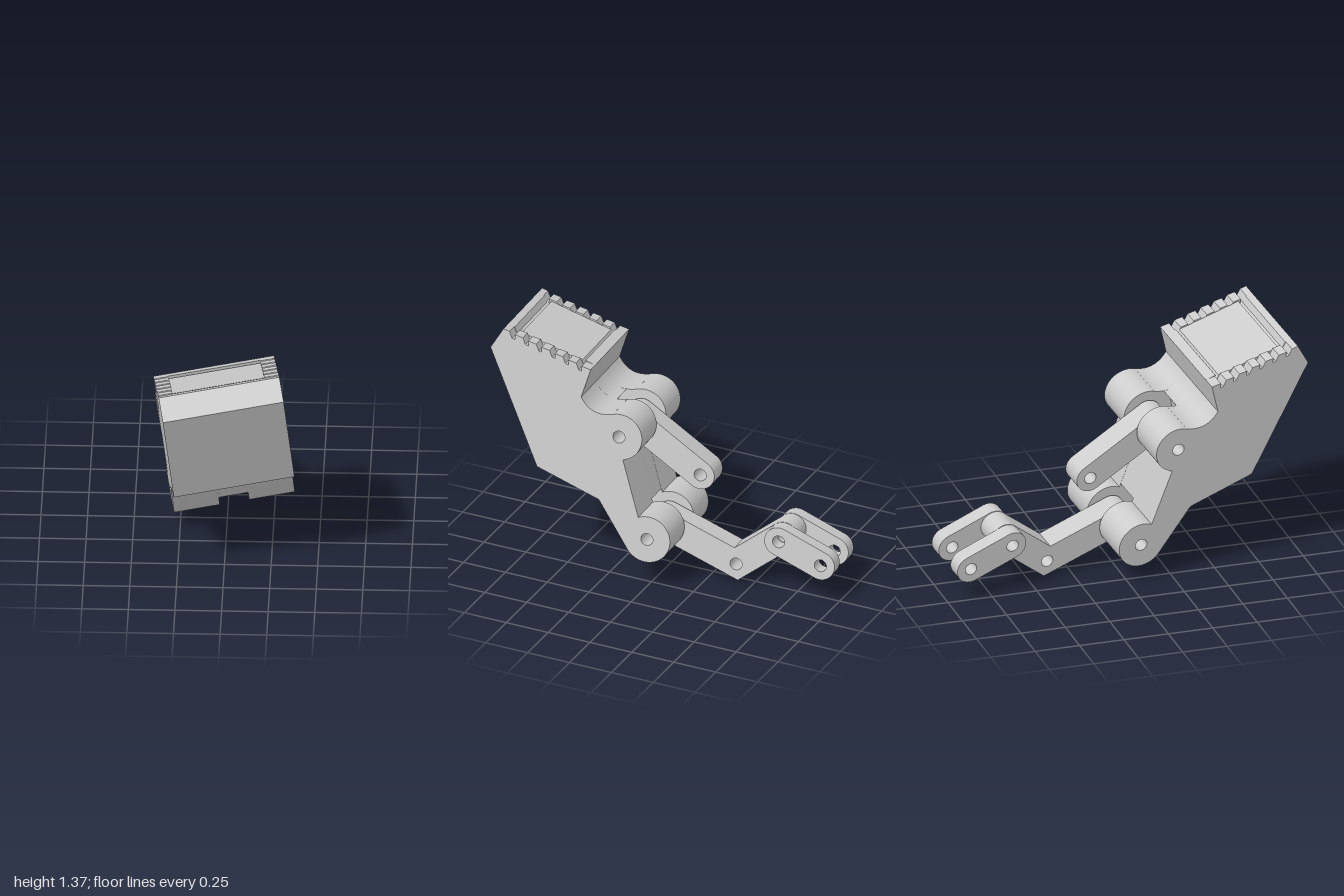
import * as THREE from 'three';
import { toCreasedNormals } from 'three/addons/utils/BufferGeometryUtils.js';

const material = new THREE.MeshStandardMaterial({ color: 0xcccccc });
const MID = 0.0485;            // middle plane of the linkage on the hinge axis
const UPPER = [0.213, 0.818];  // hinge centres as [z, y]
const LOWER = [0.029, 0.258];
const BOSS = 0.13, SLOT = 0.15, HOLE = 0.034;

// Extrudes a [z, y] shape between two positions along x
function slab(name, shape, x0, x1) {
  let geo = new THREE.ExtrudeGeometry(shape, { depth: x1 - x0, bevelEnabled: false, curveSegments: 28 });
  geo.rotateY(-Math.PI / 2).translate(x1, 0, 0);
  geo = toCreasedNormals(geo, 0.5);
  const mesh = new THREE.Mesh(geo, material);
  mesh.name = name;
  return mesh;
}

function drill(shape, [z, y]) {
  shape.holes.push(new THREE.Path().absarc(z, y, HOLE, 0, Math.PI * 2, true));
}

// Point on the sloping top: s along it from the front, d below it
const top = (s, d) => [0.889 - 0.955 * s - 0.296 * d, 1.331 - 0.296 * s - 0.955 * d];

// Notched outline at the sides
function toothTop() {
  const pts = [];
  for (let i = 0; i < 6; i++) {
    const s = 0.036 + i * 0.08;
    pts.push(top(s, 0), top(s + 0.006, 0.036), top(s + 0.024, 0.036), top(s + 0.032, 0.004));
  }
  return pts;
}

// Panel between two ridges with a groove at each end
function panelTop() {
  return [top(0.04, 0), top(0.045, 0.036), top(0.075, 0.036), top(0.08, 0.012),
    top(0.44, 0.012), top(0.445, 0.036), top(0.46, 0.036), top(0.465, 0)];
}

// Body cross-section, with hinge bosses or with clearance for the links
function bodyShape(topPoints, slotted) {
  const s = new THREE.Shape();
  s.moveTo(0.957, 1.214);
  s.lineTo(...top(0, 0));
  topPoints.forEach(p => s.lineTo(...p));
  s.lineTo(0.389, 1.176);
  s.lineTo(0.435, 1.013);
  if (slotted) {
    s.quadraticCurveTo(0.39, 0.935, 0.311, 0.932);
    s.absarc(...UPPER, SLOT, 0.86, -1.8, true);
    s.absarc(...LOWER, SLOT, 1.15, -0.12, true);
  } else {
    s.quadraticCurveTo(0.375, 0.907, 0.253, 0.942);
    s.absarc(...UPPER, BOSS, 1.26, 4.494, false);
    s.absarc(...LOWER, BOSS, 1.14, 5.69, false);
    drill(s, UPPER);
    drill(s, LOWER);
  }
  s.lineTo(0.309, 0.442);
  s.lineTo(0.665, 0.574);
  s.closePath();
  return s;
}

// Round-ended bar from a to b, optionally bent at a drilled corner
function linkShape(a, b, bend) {
  const r = 0.08, q = Math.PI / 2;
  const m = bend || [(a[0] + b[0]) / 2, (a[1] + b[1]) / 2];
  const angle = (p, n) => (Math.atan2(n[1] - p[1], n[0] - p[0]) + Math.PI * 2) % (Math.PI * 2);
  const t1 = angle(a, m), t2 = angle(m, b);
  const t = (t1 + t2) / 2, miter = r / Math.cos((t2 - t1) / 2);
  const corner = k => [m[0] + miter * Math.cos(t + k), m[1] + miter * Math.sin(t + k)];
  const s = new THREE.Shape();
  s.absarc(...a, r, t1 + q, t1 + 3 * q, false);
  s.lineTo(...corner(-q));
  s.absarc(...b, r, t2 - q, t2 + q, false);
  s.lineTo(...corner(q));
  s.closePath();
  [a, b].forEach(p => drill(s, p));
  if (bend) drill(s, bend);
  return s;
}

export function createModel() {
  const model = new THREE.Group();
  model.name = 'hingedClaw';

  // Everything is laid out square to the hinge axis, then tilted
  const tilted = new THREE.Group();
  tilted.name = 'tiltedAssembly';
  tilted.rotation.set(0, 0.132, 0.138, 'YZX');
  model.add(tilted);

  // Jaw body in strips: toothed sides, hinge cheeks, slotted centre
  const body = new THREE.Group();
  body.name = 'jawBody';
  const strips = [['toothedSide', toothTop(), 0.25, 0.3285], ['hingeCheek', panelTop(), 0.08, 0.25]];
  for (const [name, pts, near, far] of strips) {
    const shape = bodyShape(pts, false);
    body.add(slab(name + 'Left', shape, MID + near, MID + far));
    body.add(slab(name + 'Right', shape, MID - far, MID - near));
  }
  body.add(slab('slottedCentre', bodyShape(panelTop(), true), MID - 0.08, MID + 0.08));
  tilted.add(body);

  // Links in the hinge slots
  const yokeStart = [-0.658, 0.298];
  tilted.add(slab('upperLink', linkShape(UPPER, [-0.172, 0.57]), MID - 0.07, MID + 0.07));
  tilted.add(slab('bentLowerLink', linkShape(LOWER, yokeStart, [-0.397, 0.095]), MID - 0.07, MID + 0.07));

  // Pair of plates either side of the bent link
  const plate = linkShape(yokeStart, [-0.899, 0.2]);
  tilted.add(slab('yokePlateLeft', plate, MID + 0.075, MID + 0.162));
  tilted.add(slab('yokePlateRight', plate, MID - 0.162, MID - 0.075));

  return model;
}
